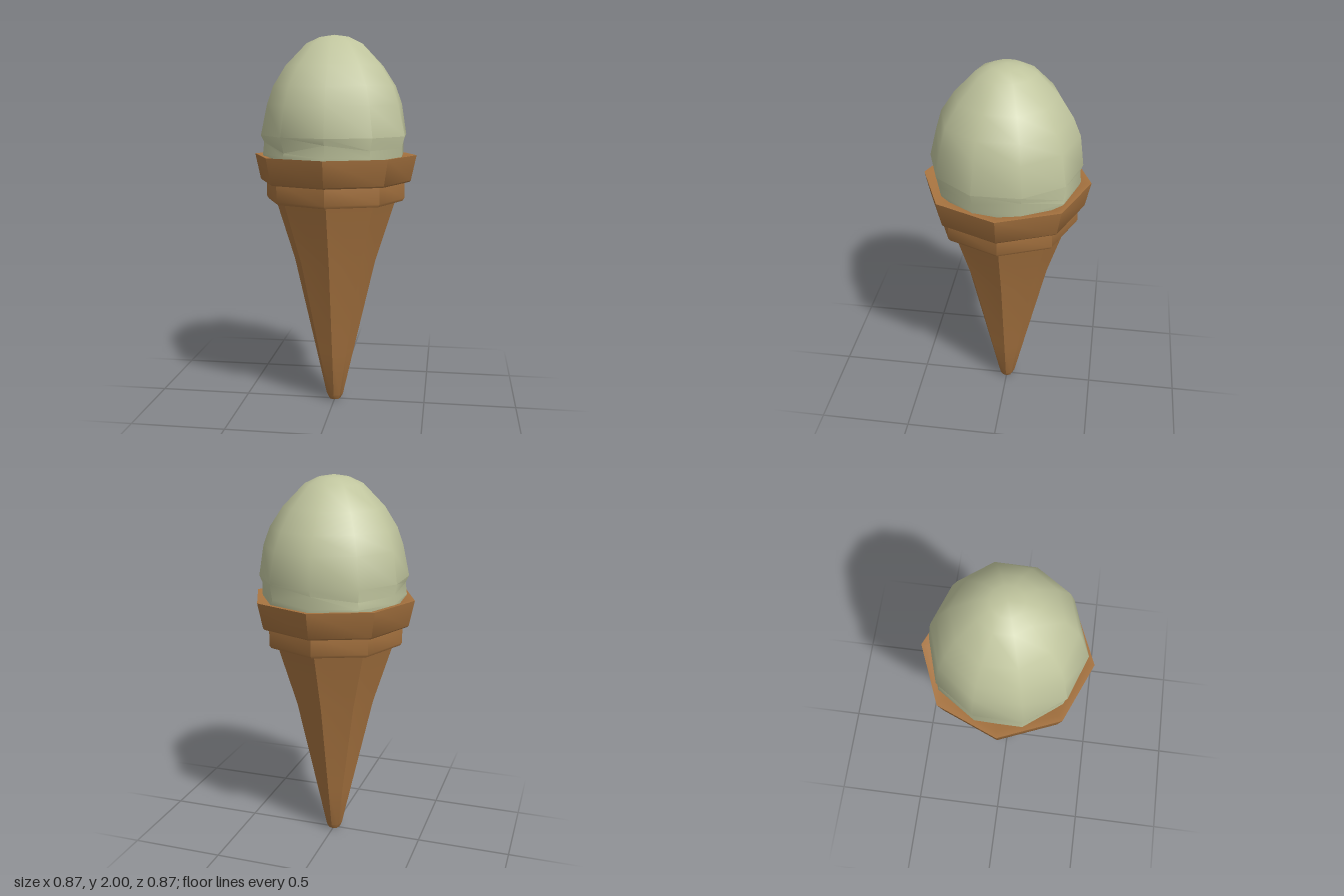
import * as THREE from 'three';
import { toCreasedNormals } from 'three/addons/utils/BufferGeometryUtils.js';

const material = (name, color) => {
  const m = new THREE.MeshStandardMaterial({ color });
  m.name = name;
  return m;
};

// Turned part with few sides; move() may nudge the vertices before shading
function turned(name, mat, profile, sides, crease, move) {
  const geo = new THREE.LatheGeometry(profile.map(([r, y]) => new THREE.Vector2(r, y)), sides);
  if (move) {
    const p = geo.attributes.position;
    const v = new THREE.Vector3();
    for (let i = 0; i < p.count; i++) {
      move(v.fromBufferAttribute(p, i));
      p.setXYZ(i, v.x, v.y, v.z);
    }
  }
  const mesh = new THREE.Mesh(toCreasedNormals(geo, crease), mat);
  mesh.name = name;
  return mesh;
}

export function createModel() {
  const wafer = material('wafer brown', 0xa87440);
  const cream = material('pistachio cream', 0xc0c59e);
  const group = new THREE.Group();
  group.name = 'iceCreamCone';

  // Eight-sided tapering cone with a rounded tip
  group.add(turned('cone', wafer, [
    [0, 0], [0.032, 0.004], [0.046, 0.03], [0.105, 0.29], [0.222, 0.8], [0.33, 1.14],
  ], 8, 0.75));

  // Lower collar band
  group.add(turned('collar', wafer, [
    [0.3, 1.14], [0.365, 1.13], [0.375, 1.145], [0.375, 1.24],
  ], 8, 0.6));

  // Flared rim, its top sloping in towards the scoop
  group.add(turned('rim', wafer, [
    [0.34, 1.235], [0.4, 1.232], [0.408, 1.24], [0.437, 1.375], [0.405, 1.372], [0.3, 1.335],
  ], 8, 0.6));

  // Ten-sided egg-shaped scoop, gently lumpy
  group.add(turned('scoop', cream, [
    [0.36, 1.3], [0.382, 1.38], [0.378, 1.425], [0.394, 1.48], [0.364, 1.64],
    [0.33, 1.735], [0.262, 1.84], [0.15, 1.955], [0.08, 1.988], [0, 2],
  ], 10, 0.75, (v) => {
    const a = Math.atan2(v.x, v.z);
    const fade = Math.min(1, (2 - v.y) * 3);
    const lump = 1 + 0.018 * fade * Math.sin(3 * a + v.y * 9) * Math.cos(2 * a - v.y * 17);
    v.x *= lump;
    v.z *= lump;
    if (v.y < 1.45 && v.y > 1.4) v.y += 0.025 * Math.sin(4 * a + 1);
  }));

  return group;
}
